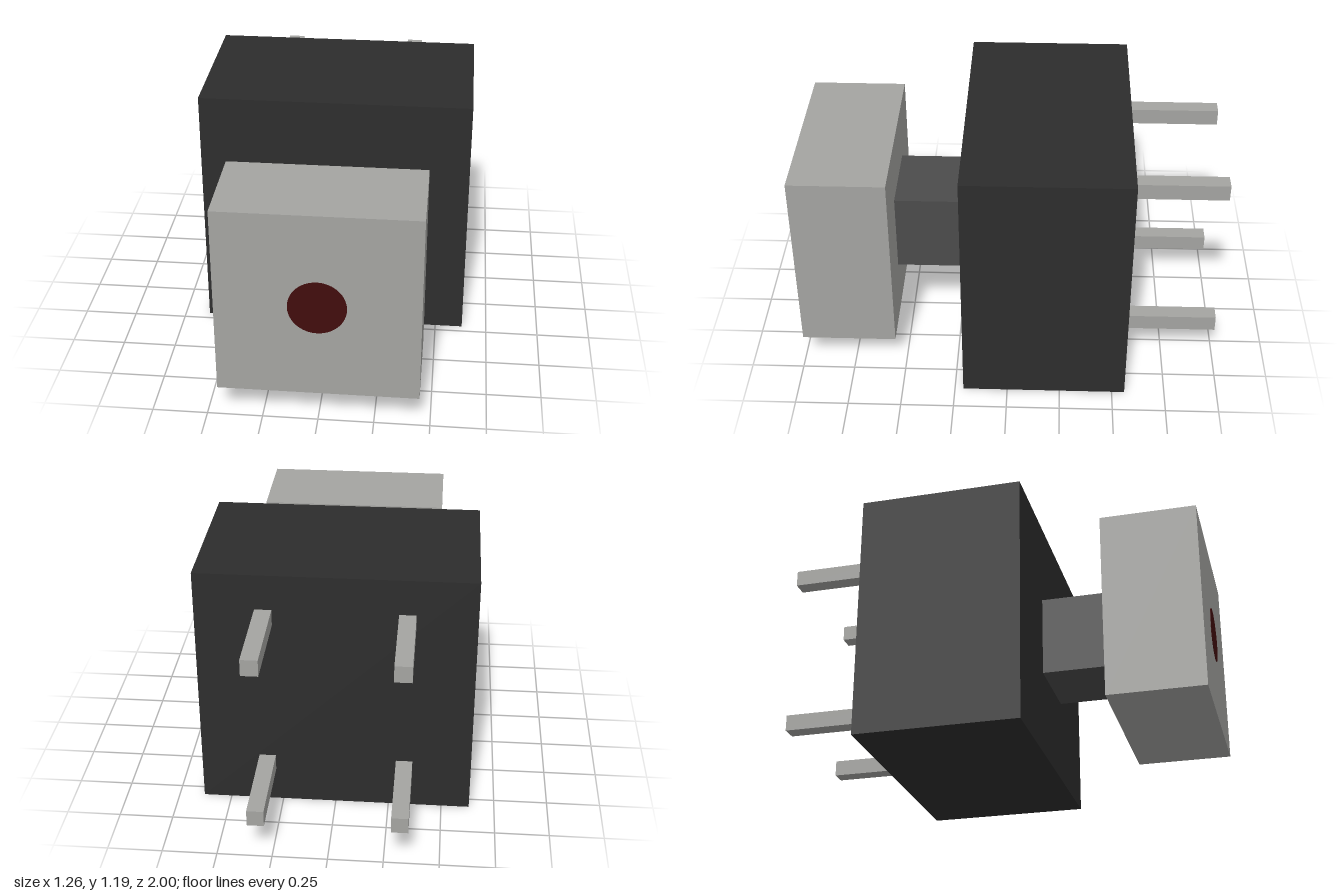
import * as THREE from 'three';

const material = (name, color) => {
  const m = new THREE.MeshStandardMaterial({ color });
  m.name = name;
  return m;
};

export function createModel() {
  const black = material('black housing', 0x2d2d2d);
  const darkGrey = material('dark grey stem', 0x4b4b4b);
  const lightGrey = material('light grey', 0xa4a4a1);
  const darkRed = material('dark red', 0x420d0d);

  const model = new THREE.Group();
  model.name = 'pushButtonSwitch';
  const midY = 0.594;

  // Box centred on (x, y), running from z0 to z1
  const addBox = (name, mat, w, h, z0, z1, x = 0, y = midY) => {
    const mesh = new THREE.Mesh(new THREE.BoxGeometry(w, h, z1 - z0), mat);
    mesh.name = name;
    mesh.position.set(x, y, (z0 + z1) / 2);
    model.add(mesh);
  };

  // Housing, plunger stem and button cap
  addBox('housing', black, 1.262, 1.188, -0.56, 0.21);
  addBox('stem', darkGrey, 0.384, 0.384, 0.21, 0.548);
  addBox('buttonCap', lightGrey, 0.9, 0.9, 0.548, 0.998);

  // Four contact pins at the back
  for (const x of [-0.32, 0.32]) {
    for (const dy of [-0.387, 0.387]) {
      addBox('contactPin', lightGrey, 0.077, 0.077, -1, -0.56, x, midY + dy);
    }
  }

  // Thin round marker on the cap face
  const marker = new THREE.Mesh(new THREE.CylinderGeometry(0.129, 0.129, 0.004, 48), darkRed);
  marker.name = 'capMarker';
  marker.rotation.x = Math.PI / 2;
  marker.position.set(0, midY, 0.998);
  model.add(marker);

  return model;
}
